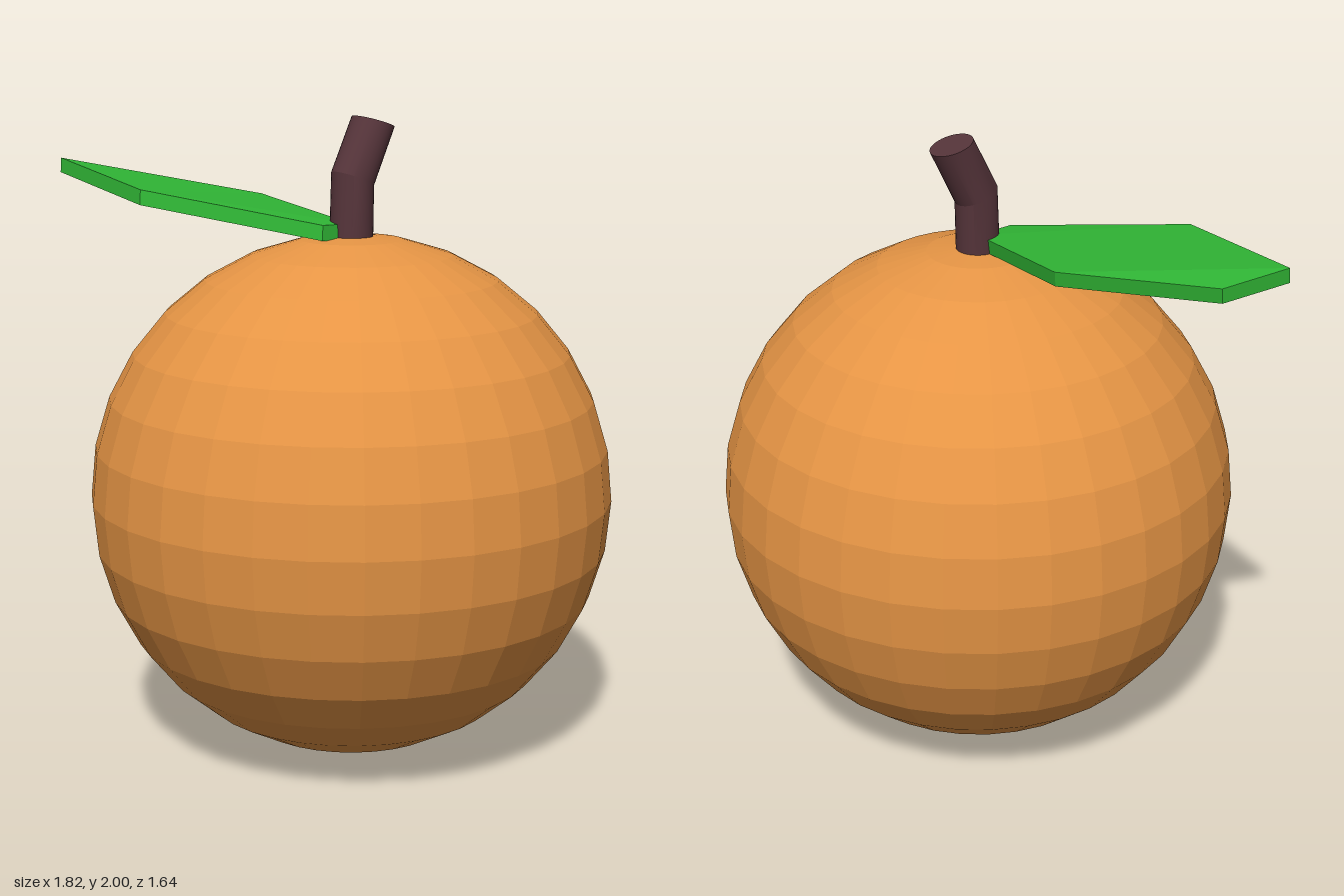
import * as THREE from 'three';
import { toCreasedNormals } from 'three/addons/utils/BufferGeometryUtils.js';

const CENTRE_X = 0.087, RADIUS = 0.82;

function addPart(group, name, geometry, color, flatShading) {
  const mesh = new THREE.Mesh(geometry, new THREE.MeshStandardMaterial({ color, flatShading }));
  mesh.name = name;
  group.add(mesh);
  return mesh;
}

// Moves every vertex of a geometry by a rule
function reshape(geometry, rule) {
  const pos = geometry.attributes.position;
  const v = new THREE.Vector3();
  for (let i = 0; i < pos.count; i++) {
    rule(v.fromBufferAttribute(pos, i));
    pos.setXYZ(i, v.x, v.y, v.z);
  }
  geometry.computeVertexNormals();
  return geometry;
}

// Stem: a cylinder with a kink halfway, leaning backwards
function stemGeometry() {
  const rings = [
    { x: 0.085, y: 1.6, z: 0, tilt: 0 },
    { x: 0.082, y: 1.81, z: -0.008, tilt: 0.36 },
    { x: 0.07, y: 1.98, z: -0.095, tilt: 0.3 },
  ];
  const geometry = reshape(new THREE.CylinderGeometry(0.068, 0.068, 2, 32, 2), (v) => {
    const ring = rings[Math.round(v.y) + 1];
    v.set(ring.x + v.x, ring.y + v.z * ring.tilt, ring.z + v.z * (1 - ring.tilt * 0.12));
  });
  return toCreasedNormals(geometry, 0.3);
}

// Leaf: a thin slab through three cross-sections, tip to base
function leafGeometry() {
  const thickness = 0.047;
  const sections = [
    { back: [-0.85, 1.78, 0.285], front: [-0.908, 1.83, 0.465] },
    { back: [-0.41, 1.725, 0], front: [-0.35, 1.77, 0.493] },
    { back: [0.09, 1.672, 0], front: [0.11, 1.677, 0.125] },
  ];
  return reshape(new THREE.BoxGeometry(2, 2, 2, 2, 1, 1), (v) => {
    const section = sections[Math.round(v.x) + 1];
    const below = v.y < 0;
    v.fromArray(v.z < 0 ? section.back : section.front);
    if (below) v.add(new THREE.Vector3(0.005, -thickness, 0.006));
  });
}

export function createModel() {
  const model = new THREE.Group();
  model.name = 'orange';

  const fruit = addPart(model, 'fruit', new THREE.SphereGeometry(RADIUS, 32, 16), 0xe69545, true);
  fruit.position.set(CENTRE_X, RADIUS, 0);

  addPart(model, 'stem', stemGeometry(), 0x55343a, false);
  addPart(model, 'leaf', leafGeometry(), 0x30b535, true);
  return model;
}
